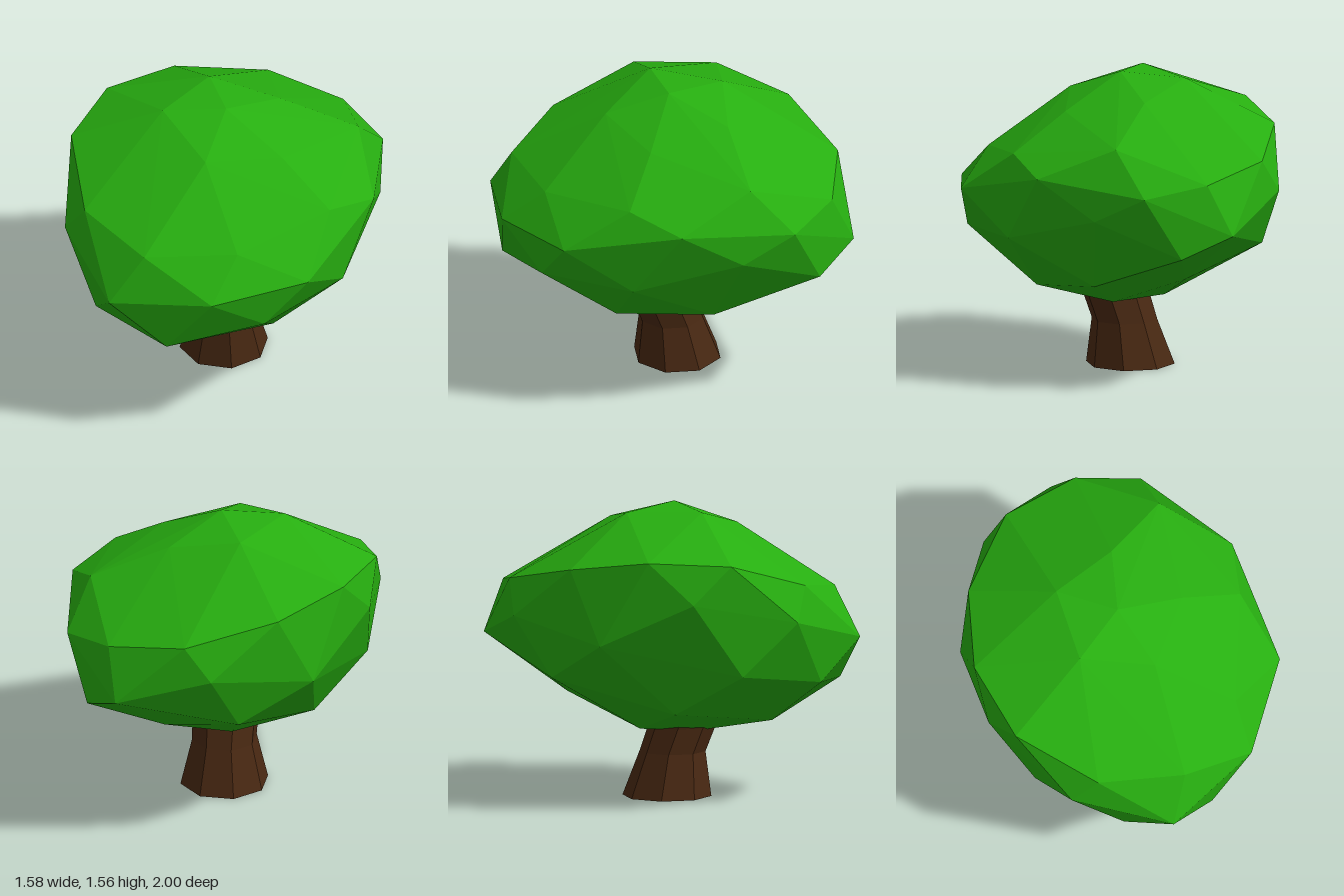
import * as THREE from 'three';
import { ConvexGeometry } from 'three/addons/geometries/ConvexGeometry.js';

const leafGreen = new THREE.MeshStandardMaterial({ name: 'leafGreen', color: 0x27ae10, flatShading: true });
const barkBrown = new THREE.MeshStandardMaterial({ name: 'barkBrown', color: 0x482812, flatShading: true });

// Corners of the faceted crown, from top to bottom
const crownTop = [
  [0.01, 1.56, 0.01], [-0.27, 1.54, 0.19], [-0.25, 1.53, -0.21], [0.11, 1.46, -0.34],
  [0.10, 1.44, 0.33], [0.37, 1.39, 0.01], [-0.78, 1.34, -0.03], [-0.71, 1.32, 0.40],
  [-0.65, 1.28, -0.46], [0.46, 1.29, -0.56], [0.69, 1.20, 0.035], [-0.38, 1.18, 0.75],
  [-0.30, 1.18, -0.825],
];
const crownMiddle = [
  [0.465, 1.13, 0.56], [0.07, 1.12, 0.85], [0.76, 1.12, -0.27], [-0.79, 1.12, 0.21],
  [0.12, 1.115, -0.91], [0.45, 1.06, -0.80], [-0.52, 1.0, 0.73], [-0.44, 1.0, -0.785],
  [0.785, 0.97, 0.37], [0.465, 0.935, 0.795], [0.60, 0.92, -0.56], [-0.76, 0.89, -0.29],
  [-0.05, 0.865, 1.0], [0.02, 0.845, -1.0],
];
const crownBottom = [
  [0.75, 0.76, 0], [0.62, 0.73, 0.535], [0.27, 0.73, -0.885], [-0.62, 0.72, 0.45],
  [-0.26, 0.65, 0.82], [-0.48, 0.68, -0.58], [0.22, 0.61, 0.86], [0.0, 0.54, -0.555],
  [0.45, 0.52, -0.355], [-0.525, 0.50, 0.08], [0.43, 0.44, 0.18], [-0.1, 0.42, 0.54],
  [0.16, 0.365, -0.13], [-0.16, 0.37, -0.15], [-0.06, 0.35, 0.13], [0.16, 0.36, 0.23],
];

// Trunk rings: centre x, height, centre z, radius
const trunkRings = [
  [-0.03, 0, -0.025, 0.235],
  [-0.012, 0.235, 0.003, 0.174],
  [0.008, 0.37, 0.05, 0.178],
  [0.02, 0.5, 0.1, 0.19],
];

function createTrunk() {
  const geometry = new THREE.CylinderGeometry(1, 1, 3, 8, 3);
  const p = geometry.attributes.position;
  // Each level of the cylinder takes the centre and radius of its ring
  for (let i = 0; i < p.count; i++) {
    const [x, y, z, r] = trunkRings[Math.round(p.getY(i) + 1.5)];
    p.setXYZ(i, x + p.getX(i) * r, y, z + p.getZ(i) * r);
  }
  geometry.computeVertexNormals();
  const trunk = new THREE.Mesh(geometry, barkBrown);
  trunk.name = 'trunk';
  return trunk;
}

function createCrown() {
  const points = [...crownTop, ...crownMiddle, ...crownBottom].map((c) => new THREE.Vector3(...c));
  const crown = new THREE.Mesh(new ConvexGeometry(points), leafGreen);
  crown.name = 'crown';
  return crown;
}

export function createModel() {
  const tree = new THREE.Group();
  tree.name = 'tree';
  tree.add(createTrunk(), createCrown());
  return tree;
}
